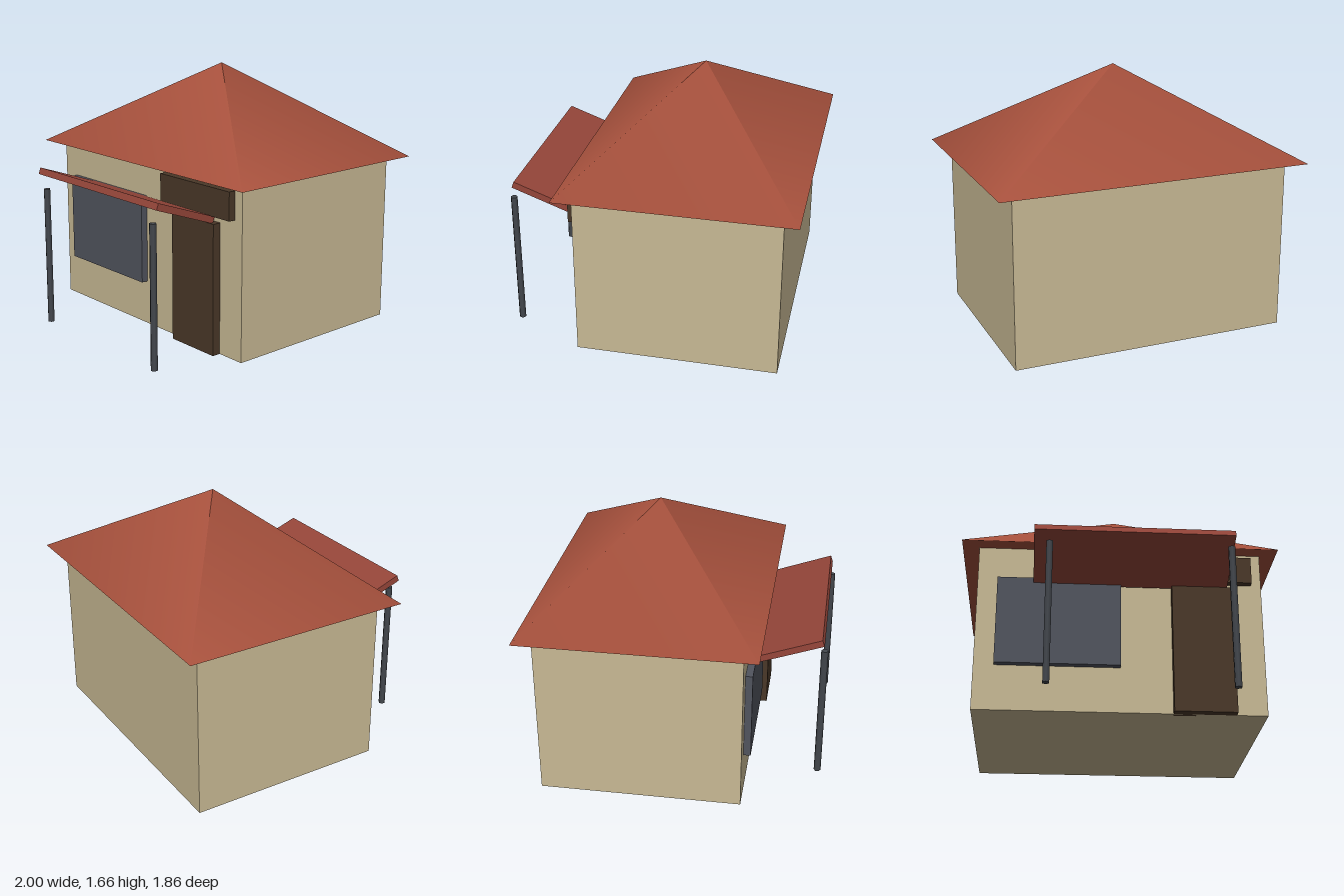
import * as THREE from 'three';

const mat = (color) => new THREE.MeshStandardMaterial({ color });

export function createModel() {
  const house = new THREE.Group();
  house.name = 'house';

  const wallMat = mat(0xc8b994);
  const roofMat = mat(0xa5503c);
  const awningMat = mat(0x96463a);
  const woodMat = mat(0x4a3828);
  const glassMat = mat(0x51545e);
  const postMat = mat(0x44484e);

  const add = (name, geometry, material) => {
    const mesh = new THREE.Mesh(geometry, material);
    mesh.name = name;
    house.add(mesh);
    return mesh;
  };

  // Box given by its extents along each axis
  const block = (name, [x0, x1], [y0, y1], [z0, z1], material) =>
    add(name, new THREE.BoxGeometry(x1 - x0, y1 - y0, z1 - z0), material)
      .position.set((x0 + x1) / 2, (y0 + y1) / 2, (z0 + z1) / 2);

  block('walls', [-0.895, 0.895], [0, 1.09], [-0.83, 0.45], wallMat);

  // Four-sided hipped roof with softly shaded slopes
  const roofGeo = new THREE.ConeGeometry(Math.SQRT2, 0.575, 4);
  roofGeo.rotateY(Math.PI / 4);
  roofGeo.scale(1, 1, 0.74);
  add('roof', roofGeo, roofMat).position.set(0, 1.09 + 0.575 / 2, -0.19);

  // Fittings on the front wall
  block('window', [-0.77, 0], [0.29, 0.865], [0.42, 0.495], glassMat);
  block('door', [0.32, 0.703], [0, 0.833], [0.42, 0.505], woodMat);
  block('signBoard', [0.195, 0.83], [0.875, 1.053], [0.42, 0.495], woodMat);

  // Awning tilted up away from the wall
  const awning = add('awning', new THREE.BoxGeometry(1.215, 0.043, 0.455), awningMat);
  awning.position.set(0.062, 0.924, 0.686);
  awning.rotation.x = -THREE.MathUtils.degToRad(20);

  // Six-sided awning posts
  const postGeo = new THREE.CylinderGeometry(0.0225, 0.0225, 0.9, 6);
  for (const [name, x] of [['rightPost', -0.452], ['leftPost', 0.636]]) {
    add(name, postGeo, postMat).position.set(x, 0.45, 0.908);
  }

  return house;
}
